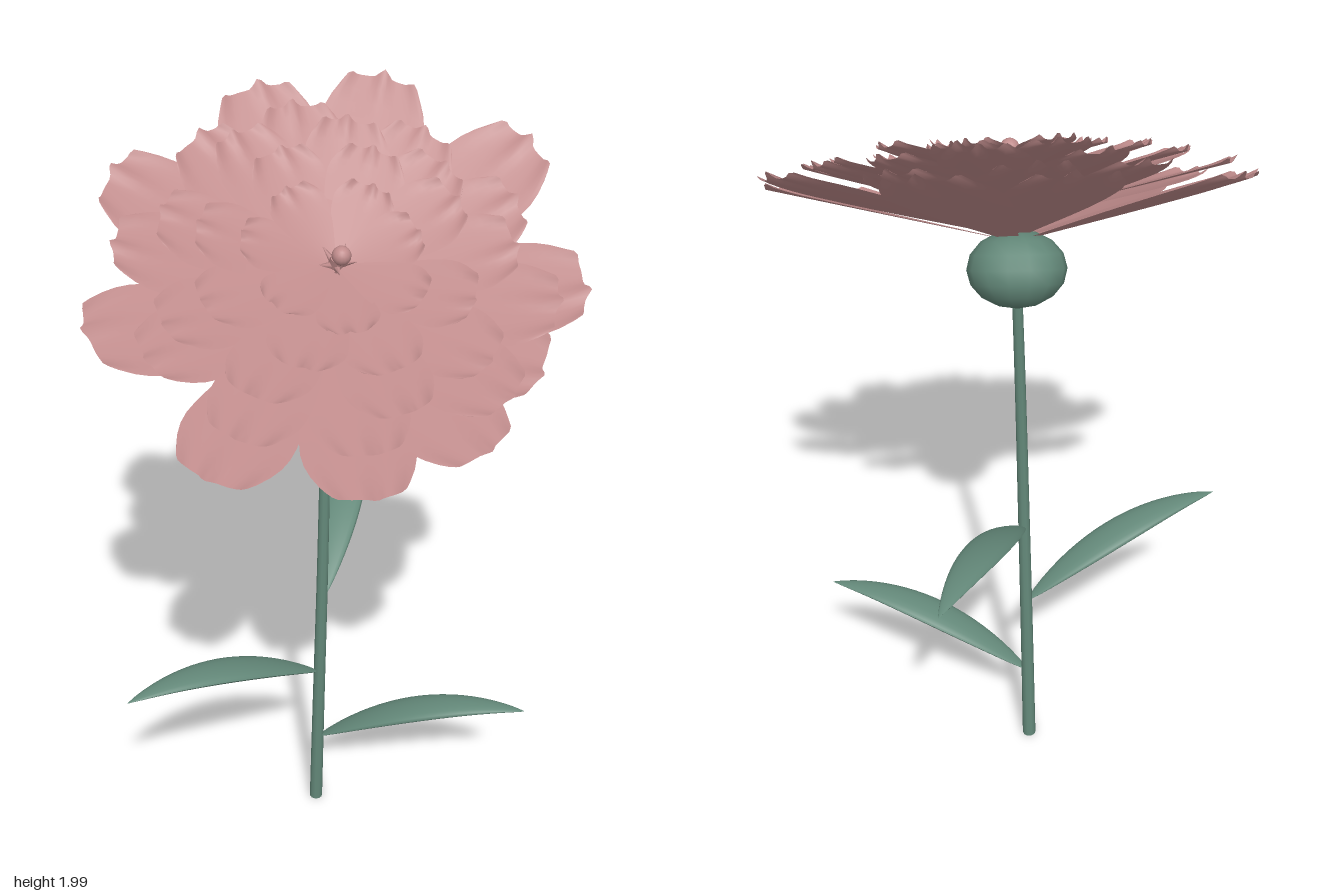
import * as THREE from 'three';
import { ParametricGeometry } from 'three/addons/geometries/ParametricGeometry.js';

const pink = new THREE.MeshStandardMaterial({ color: 0xc08c8c, side: THREE.DoubleSide });
pink.name = 'dusty pink';
const green = new THREE.MeshStandardMaterial({ color: 0x64897a, side: THREE.DoubleSide });
green.name = 'sage green';

const rad = THREE.MathUtils.degToRad;

function seeded(seed) {
  return () => {
    seed = (seed * 16807) % 2147483647;
    return seed / 2147483647;
  };
}

function add(parent, name, geometry, material) {
  const mesh = new THREE.Mesh(geometry, material);
  mesh.name = name;
  parent.add(mesh);
  return mesh;
}

// Flat wedge-shaped petal along +z with a blunt end and small folded tips
function petalGeometry(length, width, phase) {
  const skew = 0.2 * Math.sin(phase);
  const tips = [[-0.85, 0.8], [skew, 1.2], [0.8 + skew / 2, 0.8]];
  const g = new ParametricGeometry((u, t, out) => {
    const a = u * 2 - 1;
    const grow = 0.08 + 0.92 * Math.sin(Math.min(t / 0.86, 1) * Math.PI / 2) ** 1.2;
    const end = t > 0.8 ? 1 - 0.24 * ((t - 0.8) / 0.2) ** 2 : 1;
    const tip = tips.reduce((sum, [c, s]) => sum + s * Math.exp(-((a - c) ** 2) * 45), 0) * t ** 12;
    const along = t * (0.975 - 0.06 * a ** 4 * t + 0.02 * a * skew * t) + 0.025 * tip;
    const lift = 0.006 * a * a * t + 0.012 * tip;
    out.set(-a * width / 2 * grow * end, lift, along * length);
  }, 18, 16);
  g.computeVertexNormals();
  return g;
}

// Arching pointed leaf from base to tip with a lens-shaped cross-section
function leafGeometry(base, tip, width) {
  const run = new THREE.Vector3(tip.x - base.x, 0, tip.z - base.z);
  const side = new THREE.Vector3(run.z, 0, -run.x).normalize();
  const rise = tip.y - base.y;
  const g = new ParametricGeometry((u, t, out) => {
    const angle = u * Math.PI * 2;
    const w = width / 2 * Math.max(Math.sin(Math.PI * t ** 0.9) ** 0.8 || 0, 0.02);
    out.copy(base).addScaledVector(run, t).addScaledVector(side, Math.cos(angle) * w);
    out.y += rise * (2.6 * t - 1.6 * t * t) + 0.34 * w * Math.sin(angle) - 0.014 * Math.sin(Math.PI * t);
  }, 16, 20);
  g.computeVertexNormals();
  return g;
}

export function createModel() {
  const model = new THREE.Group();
  model.name = 'flower';

  // Gently bowed, tapering stem
  const path = new THREE.CatmullRomCurve3([
    new THREE.Vector3(-0.037, 0, -0.048),
    new THREE.Vector3(-0.029, 0.4, -0.035),
    new THREE.Vector3(-0.02, 0.8, -0.024),
    new THREE.Vector3(-0.01, 1.2, -0.029),
    new THREE.Vector3(0, 1.52, -0.045),
  ]);
  const stemGeo = new THREE.TubeGeometry(path, 24, 1, 10);
  const pos = stemGeo.attributes.position;
  const p = new THREE.Vector3();
  for (let i = 0; i < pos.count; i++) {
    const t = Math.floor(i / 11) / 24;
    const c = path.getPointAt(t);
    p.fromBufferAttribute(pos, i).sub(c).multiplyScalar(0.018 - 0.006 * t).add(c);
    pos.setXYZ(i, p.x, p.y, p.z);
  }
  add(model, 'stem', stemGeo, green);
  const foot = add(model, 'stemEnd', new THREE.CircleGeometry(0.018, 10), green);
  foot.rotation.x = Math.PI / 2;
  foot.position.set(-0.037, 0.001, -0.048);

  // Three leaves
  const leaves = [
    [[-0.033, 0.24, -0.04], [0.5, 0.418, 0.15]],
    [[-0.028, 0.49, -0.03], [-0.55, 0.665, 0.195]],
    [[-0.022, 0.742, -0.022], [0.2, 0.918, -0.54]],
  ];
  leaves.forEach(([b, t], i) => add(model, `leaf${i + 1}`,
    leafGeometry(new THREE.Vector3(...b), new THREE.Vector3(...t), 0.1), green));

  // Tilted flower head
  const head = new THREE.Group();
  head.name = 'flowerHead';
  head.position.set(0, 1.6, -0.03);
  head.rotation.x = rad(28.5);
  model.add(head);

  const cup = add(head, 'receptacle', new THREE.SphereGeometry(0.115, 14, 8), green);
  cup.scale.y = 0.78;
  cup.position.set(0, -0.066, -0.006);

  // Pink core and the small bud at its end
  const core = add(head, 'core', new THREE.CylinderGeometry(0.014, 0.035, 0.2, 10), pink);
  core.position.y = 0.1;
  const bud = add(head, 'bud', new THREE.SphereGeometry(0.022, 14, 10), pink);
  bud.position.set(0.01, 0.205, 0);

  const random = seeded(77);
  function placePetal(name, angle, length, width, height, lift, roll) {
    const petal = add(head, name, petalGeometry(length, width, random() * 6), pink);
    petal.position.y = height;
    petal.rotation.set(-rad(lift), rad(90 - angle), roll, 'YXZ');
  }

  // Outer petals, unevenly spread: [direction in degrees, length]
  const outer = [
    [-69, 0.61], [-101, 0.575], [-145, 0.59], [169, 0.59], [126, 0.61],
    [92, 0.585], [62, 0.56], [34, 0.53], [8, 0.595], [-31, 0.63],
  ];
  outer.forEach(([angle, length], i) =>
    placePetal('outerPetal', angle, length, 0.25, (i % 2) * 0.01 - 0.005, 12.7, 0.03));

  // Inner rings climb the core: count, length, width, height, lift, start angle
  const rings = [
    [10, 0.5, 0.22, 0.042, 13, 18],
    [9, 0.415, 0.2, 0.085, 13, 3],
    [8, 0.32, 0.18, 0.125, 13, 25],
    [7, 0.215, 0.14, 0.16, 13, -10],
  ];
  rings.forEach(([count, length, width, height, lift, start], r) => {
    for (let i = 0; i < count; i++) {
      const angle = start + i * 360 / count + (random() - 0.5) * 10;
      placePetal(`ring${r + 2}Petal`, angle, length * (0.95 + random() * 0.1), width,
        height + (i % 2) * 0.01, lift + (random() - 0.5) * 2, 0.05);
    }
  });

  // Tiny pointed spikes around the bud
  for (let i = 0; i < 5; i++) {
    const spike = add(head, 'centreSpike', new THREE.ConeGeometry(0.01, 0.05, 6), pink);
    const a = i * Math.PI * 2 / 5;
    spike.position.set(Math.sin(a) * 0.025, 0.185, Math.cos(a) * 0.025);
    spike.rotation.set(rad(60), a, 0, 'YXZ');
  }

  return model;
}
